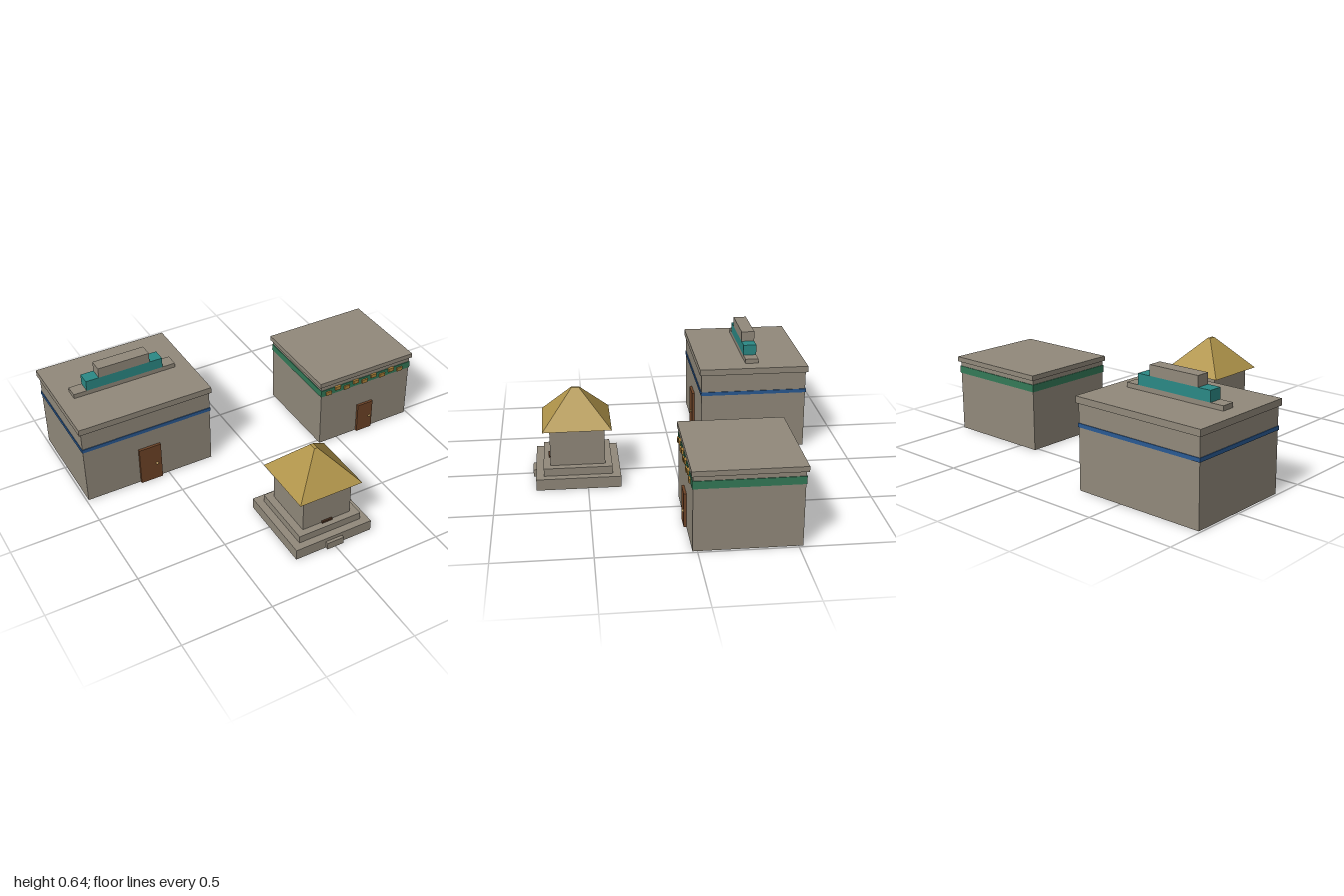
import * as THREE from 'three';

const mat = (name, color) => new THREE.MeshStandardMaterial({ name, color });

export function createModel() {
  const stone = mat('stone', 0x928a7c);
  const teal = mat('teal', 0x2b8a86);
  const blue = mat('blue', 0x2a5a94);
  const green = mat('green', 0x347a58);
  const wood = mat('wood', 0x704528);
  const darkWood = mat('dark wood', 0x4a3020);
  const thatch = mat('thatch', 0xb0944a);
  const ochre = mat('ochre', 0xb0843a);
  const brass = mat('brass', 0xb8945a);

  const model = new THREE.Group();
  model.name = 'village';
  const addGroup = (name) => {
    const g = new THREE.Group();
    g.name = name;
    model.add(g);
    return g;
  };
  // Box given by its limits along each axis
  const box = (parent, name, material, [x0, x1], [y0, y1], [z0, z1]) => {
    const mesh = new THREE.Mesh(new THREE.BoxGeometry(x1 - x0, y1 - y0, z1 - z0), material);
    mesh.position.set((x0 + x1) / 2, (y0 + y1) / 2, (z0 + z1) / 2);
    mesh.name = name;
    parent.add(mesh);
    return mesh;
  };
  const knob = (parent, x, y, z) => {
    const mesh = new THREE.Mesh(new THREE.SphereGeometry(0.008, 10, 8), brass);
    mesh.position.set(x, y, z);
    mesh.name = 'doorKnob';
    parent.add(mesh);
  };

  // Large hall with a stepped roof crest
  const hall = addGroup('hall');
  box(hall, 'hallWalls', stone, [-0.988, -0.228], [0, 0.46], [-0.785, -0.177]);
  box(hall, 'hallBand', blue, [-0.992, -0.224], [0.335, 0.356], [-0.789, -0.173]);
  box(hall, 'hallRoof', stone, [-1, -0.218], [0.46, 0.496], [-0.797, -0.167]);
  box(hall, 'crestBase', stone, [-0.912, -0.305], [0.496, 0.522], [-0.519, -0.443]);
  box(hall, 'crestMiddle', teal, [-0.836, -0.381], [0.522, 0.582], [-0.519, -0.443]);
  box(hall, 'crestTop', stone, [-0.76, -0.457], [0.582, 0.64], [-0.519, -0.443]);
  box(hall, 'hallDoor', wood, [-0.673, -0.543], [0, 0.23], [-0.18, -0.162]);
  knob(hall, -0.572, 0.106, -0.16);

  // Smaller house with a patterned frieze
  const house = addGroup('house');
  box(house, 'houseWalls', stone, [0.383, 0.987], [0, 0.402], [-0.523, 0.024]);
  box(house, 'houseBand', green, [0.379, 0.991], [0.334, 0.375], [-0.527, 0.028]);
  box(house, 'houseRoof', stone, [0.371, 1], [0.402, 0.43], [-0.535, 0.032]);
  for (let i = 0; i < 9; i++) {
    const x = 0.428 + i * 0.061;
    const y = i % 2 ? 0.366 : 0.35;
    box(house, 'friezeBlock', ochre, [x - 0.018, x + 0.018], [y - 0.011, y + 0.011], [0.02, 0.037]);
  }
  box(house, 'houseDoor', wood, [0.633, 0.735], [0, 0.186], [0.02, 0.038]);
  knob(house, 0.717, 0.085, 0.039);

  // Shrine on a stepped plinth
  const shrine = addGroup('shrine');
  box(shrine, 'plinthLower', stone, [-0.23, 0.23], [0, 0.063], [0.32, 0.78]);
  box(shrine, 'plinthUpper', stone, [-0.187, 0.187], [0.063, 0.106], [0.364, 0.738]);
  box(shrine, 'shrineWalls', stone, [-0.145, 0.145], [0.106, 0.318], [0.402, 0.7]);
  box(shrine, 'frontStep', stone, [-0.05, 0.05], [0, 0.042], [0.77, 0.797]);
  box(shrine, 'threshold', darkWood, [-0.032, 0.032], [0.106, 0.117], [0.69, 0.71]);

  // Hipped roof: a box whose top edges are drawn in to a short ridge
  const roof = box(shrine, 'shrineRoof', thatch, [-0.187, 0.187], [0.317, 0.504], [0.364, 0.738]);
  const p = roof.geometry.attributes.position;
  for (let i = 0; i < p.count; i++) {
    if (p.getY(i) > 0) {
      p.setX(i, Math.sign(p.getX(i)) * 0.009);
      p.setZ(i, Math.sign(p.getZ(i)) * 0.021);
    }
  }
  roof.geometry.computeVertexNormals();

  return model;
}
